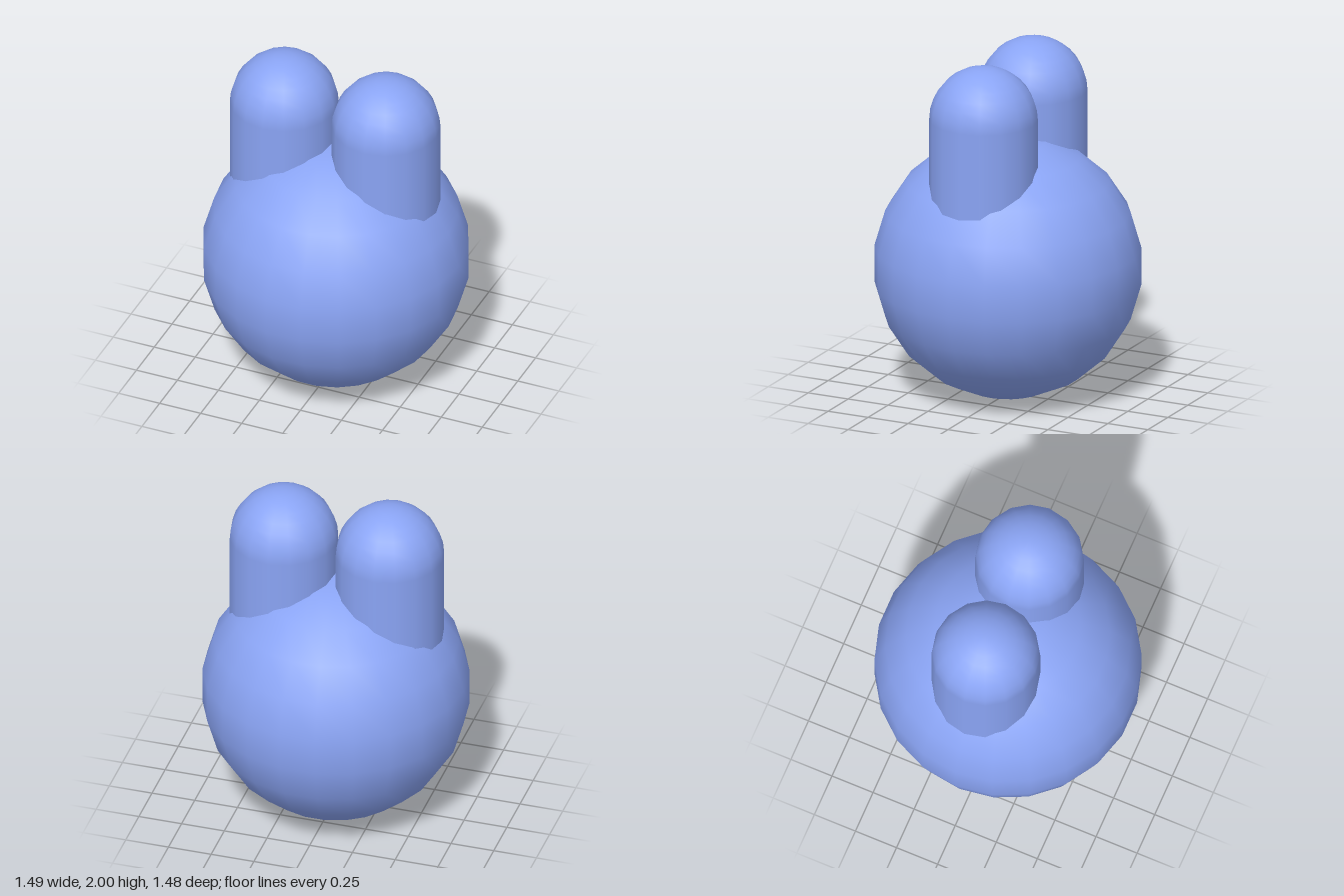
import * as THREE from 'three';

export function createModel() {
  const model = new THREE.Group();
  model.name = 'roundBodyWithEars';
  const material = new THREE.MeshStandardMaterial({ color: 0x8aa4f4 });

  // Round body resting on the ground
  const bodyRadius = 0.755;
  const body = new THREE.Mesh(new THREE.SphereGeometry(bodyRadius, 22, 11), material);
  body.name = 'body';
  body.position.y = bodyRadius;
  model.add(body);

  // Upright capsule ears, sunk into the top of the body
  const earRadius = 0.305;
  const earTop = 2;
  const earBottom = 0.75;
  const earGeometry = new THREE.CapsuleGeometry(earRadius, earTop - earBottom - 2 * earRadius, 8, 16);
  for (const [name, x] of [['leftEar', 0.305], ['rightEar', -0.315]]) {
    const ear = new THREE.Mesh(earGeometry, material);
    ear.name = name;
    ear.position.set(x, (earTop + earBottom) / 2, 0);
    model.add(ear);
  }

  return model;
}
